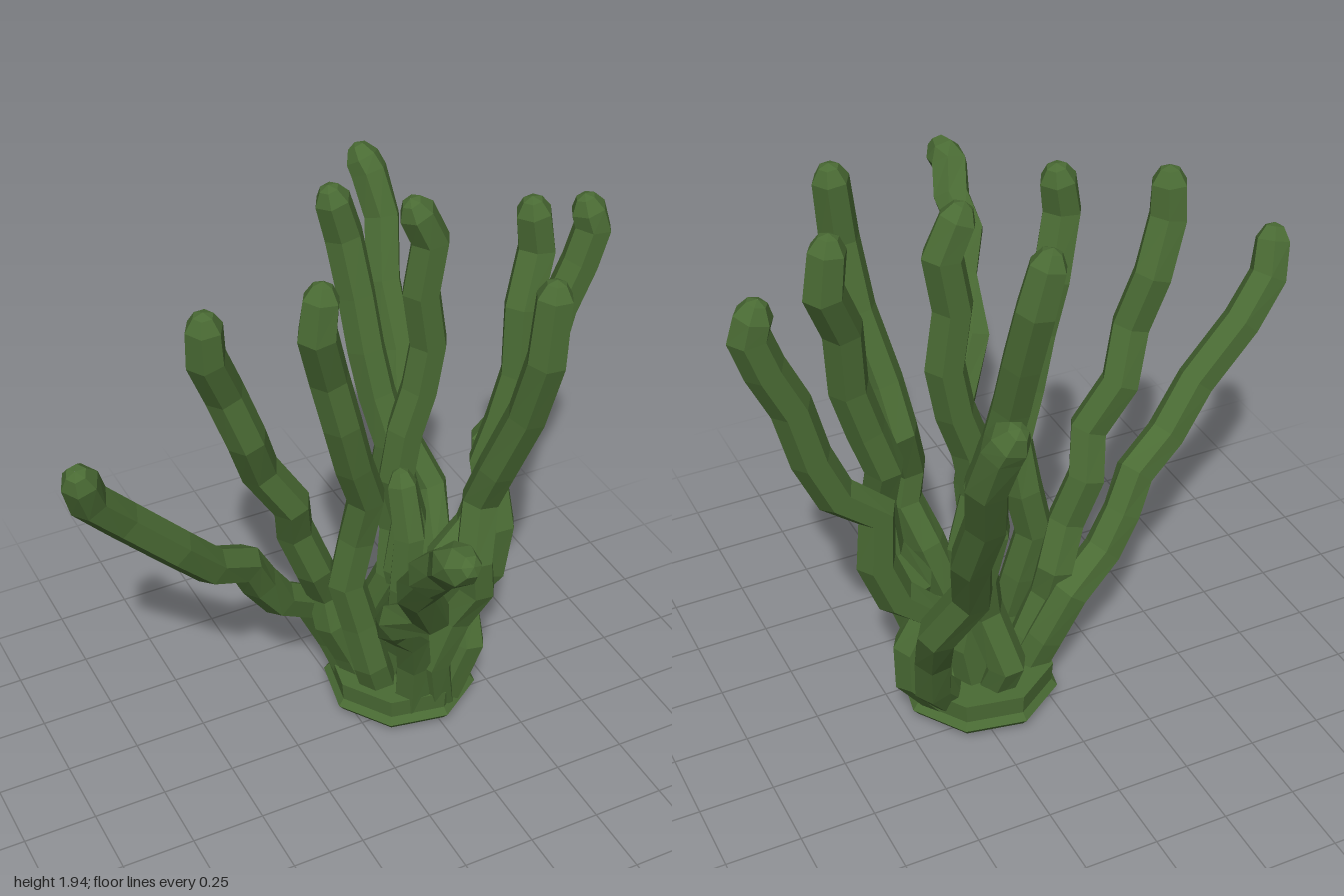
import * as THREE from 'three';

const SIDES = 6;

// Each stem as a path of [x, y, z] points from the root to the tip
const STEMS = {
  farRightStem: [[0.06, 0.08, -0.17], [0, 0.25, -0.21], [-0.08, 0.42, -0.23], [-0.22, 0.52, -0.19], [-0.3, 0.64, -0.17], [-0.36, 0.76, -0.14], [-0.5, 0.84, -0.09], [-0.63, 0.99, -0.05], [-0.8, 1.17, -0.04], [-0.91, 1.3, -0.01], [-0.955, 1.45, 0.04]],
  rightStem: [[0.08, 0.08, -0.14], [0.03, 0.22, -0.15], [-0.04, 0.38, -0.15], [-0.05, 0.5, -0.18], [-0.11, 0.65, -0.14], [-0.17, 0.82, -0.16], [-0.2, 0.97, -0.11], [-0.3, 1.13, -0.13], [-0.36, 1.3, -0.08], [-0.42, 1.48, -0.1], [-0.49, 1.65, -0.06], [-0.495, 1.81, -0.05]],
  innerRightStem: [[0.1, 0.08, -0.05], [0.05, 0.25, -0.03], [0.02, 0.42, -0.06], [-0.02, 0.6, -0.08], [0.02, 0.78, -0.08], [0.04, 0.96, -0.05], [-0.02, 1.13, -0.02], [-0.07, 1.32, 0], [-0.11, 1.5, -0.01], [-0.17, 1.7, 0.04], [-0.145, 1.86, 0.03]],
  frontStem: [[0.17, 0.08, 0.05], [0.16, 0.3, 0.08], [0.12, 0.47, 0.13], [0.02, 0.6, 0.19], [0, 0.67, 0.25], [0.04, 0.8, 0.4], [-0.07, 1.01, 0.5], [-0.085, 1.17, 0.63], [-0.155, 1.28, 0.73], [-0.145, 1.37, 0.82], [-0.175, 1.45, 0.9], [-0.165, 1.5, 0.985]],
  frontLeftStem: [[0.26, 0.08, 0.06], [0.22, 0.3, 0.1], [0.28, 0.5, 0.13], [0.33, 0.65, 0.19], [0.31, 0.78, 0.2], [0.36, 0.97, 0.14], [0.38, 1.13, 0.2], [0.43, 1.37, 0.28], [0.45, 1.6, 0.34], [0.475, 1.86, 0.33]],
  leftStem: [[0.3, 0.08, 0.04], [0.37, 0.3, 0.07], [0.38, 0.46, 0], [0.46, 0.58, 0.04], [0.48, 0.76, 0.05], [0.48, 0.98, -0.03], [0.53, 1.13, -0.02], [0.58, 1.3, -0.02], [0.6, 1.53, -0.05], [0.67, 1.7, -0.1], [0.645, 1.88, -0.1]],
  farLeftStem: [[0.36, 0.08, -0.18], [0.47, 0.22, -0.18], [0.47, 0.35, -0.18], [0.41, 0.48, -0.18], [0.52, 0.58, -0.18], [0.58, 0.74, -0.18], [0.57, 0.93, -0.18], [0.7, 1.04, -0.18], [0.77, 1.2, -0.18], [0.82, 1.4, -0.18], [0.89, 1.55, -0.18], [0.93, 1.67, -0.18], [0.9, 1.78, -0.19]],
  tallStem: [[0.24, 0.08, -0.18], [0.28, 0.3, -0.18], [0.24, 0.5, -0.18], [0.27, 0.7, -0.18], [0.22, 0.9, -0.18], [0.25, 1.08, -0.18], [0.3, 1.23, -0.18], [0.33, 1.4, -0.18], [0.3, 1.6, -0.18], [0.33, 1.78, -0.18], [0.26, 1.93, -0.18]],
  backStem: [[0.2, 0.08, -0.22], [0.18, 0.25, -0.29], [0.23, 0.45, -0.22], [0.26, 0.63, -0.25], [0.23, 0.81, -0.28], [0.24, 0.99, -0.25], [0.21, 1.16, -0.31], [0.19, 1.32, -0.35], [0.18, 1.5, -0.4], [0.16, 1.7, -0.45], [0.11, 1.88, -0.45]],
  farBackStem: [[0.34, 0.08, -0.18], [0.43, 0.22, -0.25], [0.45, 0.4, -0.31], [0.485, 0.6, -0.43], [0.41, 0.8, -0.53], [0.47, 1.05, -0.66], [0.47, 1.27, -0.77], [0.51, 1.47, -0.86], [0.49, 1.62, -0.92], [0.465, 1.7, -0.965]],
  shortStem: [[0.17, 0.08, -0.1], [0.18, 0.25, -0.06], [0.15, 0.42, 0], [0.145, 0.6, 0.03], [0.165, 0.8, 0.02], [0.165, 1.02, -0.05]],
};

// Sweeps a six-sided ring along a bent path and closes it with a blunt tip
function stemGeometry(path, radius) {
  const pts = path.map((p) => new THREE.Vector3(...p));
  const end = pts.pop();
  const last = pts[pts.length - 1];
  const dir = end.clone().sub(last).normalize();
  const rings = pts.map((p) => ({ p, r: radius }));
  rings.push({ p: end.clone().addScaledVector(dir, -0.045), r: radius * 0.92 });
  rings.push({ p: end, r: radius * 0.5 });
  rings.push({ p: end.clone().addScaledVector(dir, 0.012), r: 0.001 });

  const positions = [], index = [];
  const ref = new THREE.Vector3(0, 0, 1);
  rings.forEach(({ p, r }, i) => {
    const before = rings[Math.max(i - 1, 0)].p;
    const after = rings[Math.min(i + 1, rings.length - 1)].p;
    const t = after.clone().sub(before).normalize();
    const u = new THREE.Vector3().crossVectors(t, ref).normalize();
    const v = new THREE.Vector3().crossVectors(t, u);
    for (let j = 0; j < SIDES; j++) {
      const a = (j / SIDES) * Math.PI * 2;
      const q = p.clone().addScaledVector(u, r * Math.cos(a)).addScaledVector(v, r * Math.sin(a));
      positions.push(q.x, q.y, q.z);
      if (i === rings.length - 1) continue;
      const k = (j + 1) % SIDES;
      const a0 = i * SIDES + j, b0 = i * SIDES + k;
      index.push(a0, b0, b0 + SIDES, a0, b0 + SIDES, a0 + SIDES);
    }
  });
  const geometry = new THREE.BufferGeometry();
  geometry.setAttribute('position', new THREE.Float32BufferAttribute(positions, 3));
  geometry.setIndex(index);
  geometry.computeVertexNormals();
  return geometry;
}

export function createModel() {
  const group = new THREE.Group();
  group.name = 'branchingPlant';
  const green = new THREE.MeshStandardMaterial({ color: 0x4a6b34, flatShading: true });
  green.name = 'stemGreen';

  const add = (geometry, name, x = 0, y = 0, z = 0) => {
    const mesh = new THREE.Mesh(geometry, green);
    mesh.name = name;
    mesh.position.set(x, y, z);
    group.add(mesh);
    return mesh;
  };

  // Stems, the short one a little thinner
  for (const [name, path] of Object.entries(STEMS)) {
    add(stemGeometry(path, name === 'shortStem' ? 0.057 : 0.067), name);
  }

  // Eight-sided root collar, hollow underneath
  const profile = [[0, 0.1], [0.1, 0.09], [0.17, 0.03], [0.25, 0.03], [0.27, 0.055], [0.25, 0.08], [0.255, 0.15], [0.12, 0.15], [0, 0.13]];
  const collar = new THREE.LatheGeometry(profile.map(([x, y]) => new THREE.Vector2(x, y)), 8);
  add(collar, 'rootCollar', 0.205, 0, -0.115).rotation.y = 0.2;

  // Root knob under the collar
  add(new THREE.IcosahedronGeometry(0.085, 0), 'rootKnob', 0.18, 0.06, -0.14).scale.y = 0.8;
  return group;
}
